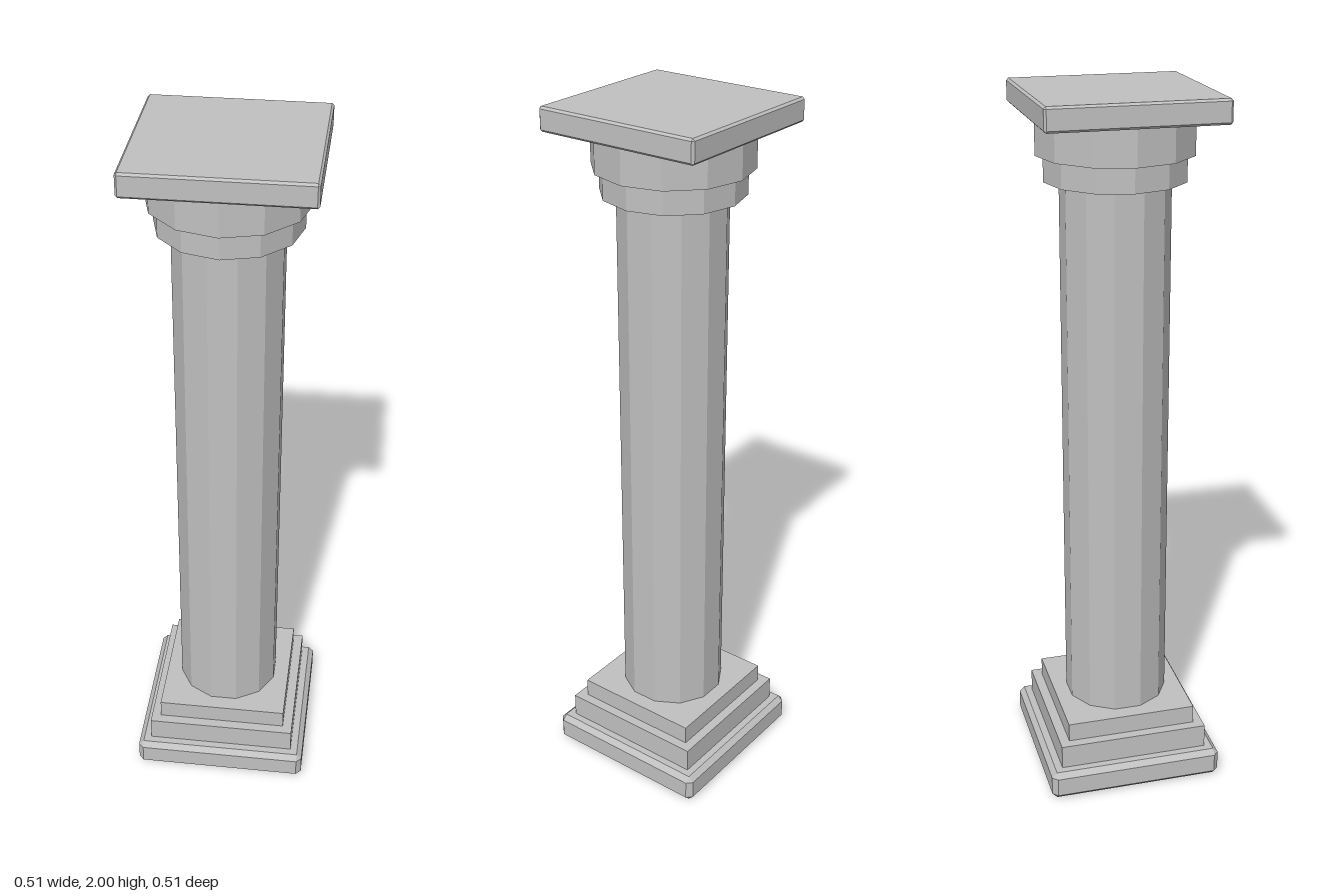
import * as THREE from 'three';
import { ConvexGeometry } from 'three/addons/geometries/ConvexGeometry.js';

// Box with every edge cut at 45 degrees
function chamferedBox(halfWidth, height, cut) {
  const h = height / 2, points = [];
  for (const x of [-1, 1]) for (const y of [-1, 1]) for (const z of [-1, 1]) {
    const w = halfWidth, i = halfWidth - cut, k = h - cut;
    points.push(
      new THREE.Vector3(x * w, y * k, z * i),
      new THREE.Vector3(x * i, y * h, z * i),
      new THREE.Vector3(x * i, y * k, z * w)
    );
  }
  return new ConvexGeometry(points);
}

export function createModel() {
  const model = new THREE.Group();
  model.name = 'column';
  const stone = new THREE.MeshStandardMaterial({ color: 0xc0c0c0, flatShading: true });
  stone.name = 'grey stone';

  const add = (name, geometry, bottom, top) => {
    const mesh = new THREE.Mesh(geometry, stone);
    mesh.name = name;
    mesh.position.y = (bottom + top) / 2;
    model.add(mesh);
    return mesh;
  };
  const slab = (name, half, bottom, top, cut) =>
    add(name, chamferedBox(half, top - bottom, cut), bottom, top);
  const step = (name, half, bottom, top) =>
    add(name, new THREE.BoxGeometry(half * 2, top - bottom, half * 2), bottom, top);
  const drum = (name, radius, bottom, top) =>
    add(name, new THREE.CylinderGeometry(radius, radius, top - bottom, 12), bottom, top);

  // Stepped square base
  slab('plinth', 0.254, 0, 0.085, 0.015);
  step('lowerStep', 0.218, 0.085, 0.155);
  step('upperStep', 0.19, 0.155, 0.21);

  // Twelve-sided shaft, a flat face to the front
  drum('shaft', 0.15, 0.21, 1.765).rotation.y = Math.PI / 12;

  // Round capital under a square top
  drum('capitalLowerRing', 0.195, 1.765, 1.835);
  drum('capitalUpperRing', 0.216, 1.835, 1.935);
  slab('abacus', 0.241, 1.935, 2, 0.006);

  return model;
}
